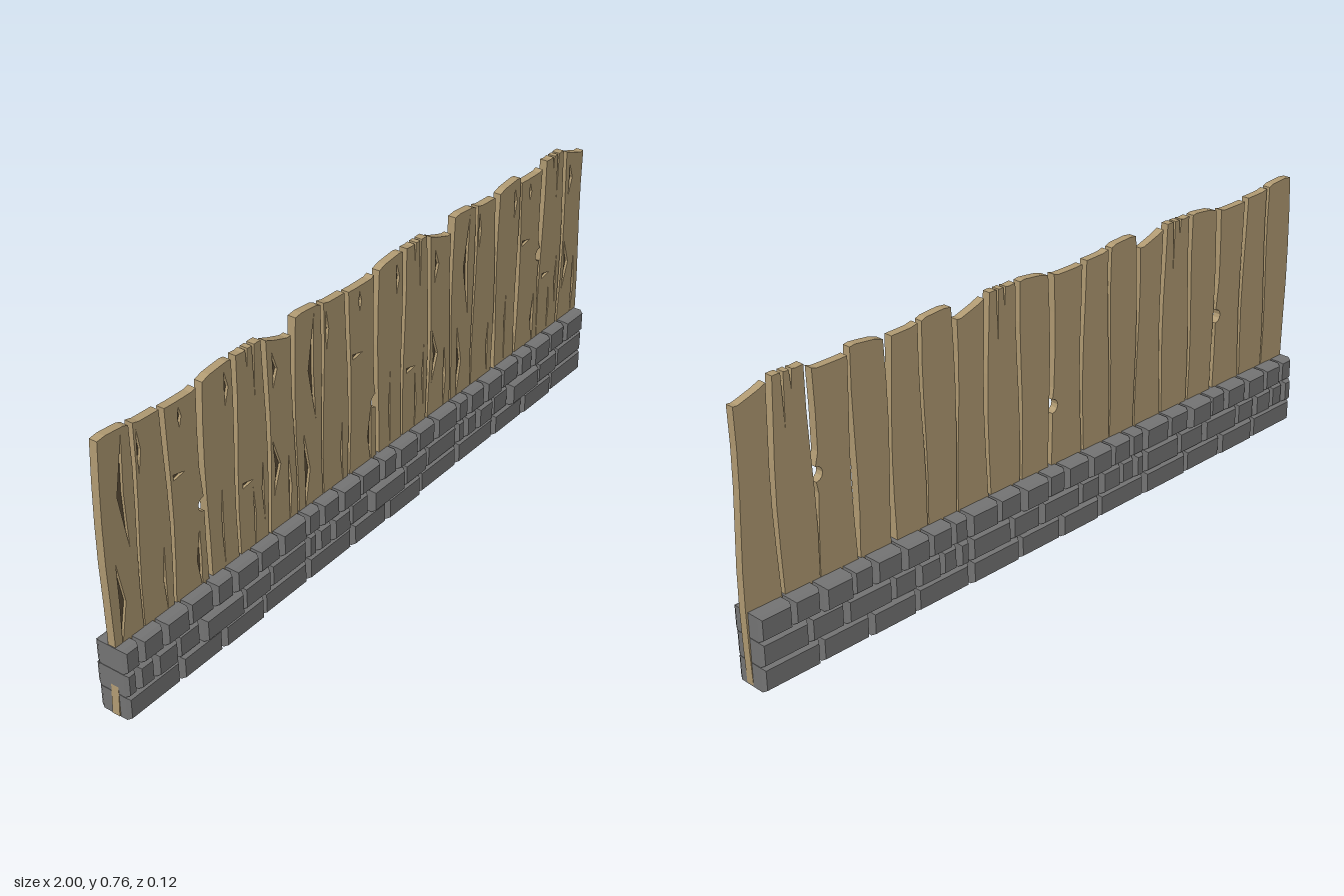
import * as THREE from 'three';

const wood = new THREE.MeshStandardMaterial({ color: 0xb09a72, flatShading: true });
const darkWood = new THREE.MeshStandardMaterial({ color: 0x5c4e38, flatShading: true });
const stone = new THREE.MeshStandardMaterial({ color: 0x747474, flatShading: true });

const SECTION = 2 / 3;
const Z_BACK = -0.008, Z_GROOVE = 0.007, Z_FRONT = 0.015;

// Planks of one section: side positions, heights of the two top corners, then
// cracks [x, top, bottom, bend, width], sideways split [x, y], slits [fraction, depth]
const planks = [
  { x0: 0, x1: 0.106, yl: 0.753, yr: 0.746,
    cracks: [[0.078, 0.735, 0.44, -0.016, 0.02], [0.03, 0.42, 0.19, 0.012, 0.02]] },
  { x0: 0.107, x1: 0.209, yl: 0.745, yr: 0.738,
    cracks: [[0.125, 0.725, 0.61, 0.004, 0.012], [0.185, 0.38, 0.19, -0.005, 0.008]] },
  { x0: 0.214, x1: 0.325, yl: 0.732, yr: 0.735, split: [0.23, 0.54],
    cracks: [[0.26, 0.715, 0.66, 0.002, 0.012], [0.305, 0.36, 0.19, -0.006, 0.016]] },
  { x0: 0.335, x1: 0.443, yl: 0.738, yr: 0.75,
    cracks: [[0.415, 0.73, 0.64, 0.006, 0.014], [0.39, 0.43, 0.2, -0.004, 0.006]] },
  { x0: 0.448, x1: 0.557, yl: 0.752, yr: 0.752, split: [0.463, 0.39], slits: [[0.42, 0.05], [0.69, 0.14]],
    cracks: [[0.5, 0.37, 0.19, 0.005, 0.007], [0.54, 0.44, 0.25, -0.004, 0.007]] },
  { x0: 0.563, x1: 0.664, yl: 0.742, yr: 0.715,
    cracks: [[0.585, 0.7, 0.6, 0.01, 0.016], [0.578, 0.46, 0.3, 0.018, 0.02], [0.635, 0.4, 0.19, 0.005, 0.012]] },
];

// Brick joints along one section, per course from the ground up
const courses = [
  [0, 0.183, 0.333, 0.488, 0.665],
  [0, 0.04, 0.097, 0.176, 0.259, 0.408, 0.518, 0.665],
  [0, 0.056, 0.134, 0.222, 0.313, 0.382, 0.476, 0.562, 0.665],
];

const outline = (pts) => new THREE.Shape(pts.map(([x, y]) => new THREE.Vector2(x, y)));

function slab(shape, z0, z1) {
  const g = new THREE.ExtrudeGeometry(shape, { depth: z1 - z0, bevelEnabled: false });
  return g.translate(0, 0, z0);
}

// Wavy plank side; seams open slightly towards the top
function sidePoint(x, y, seam, lean) {
  const wavy = x + 0.005 * Math.sin(9 * y + 2 * seam) + lean * 0.008 * y;
  return [THREE.MathUtils.clamp(wavy, 0, SECTION), y];
}

function plankOutline({ x0, x1, yl, yr, slits = [] }, k, knotY) {
  const right = [], left = [], top = [];
  for (let i = 0; i <= 7; i++) {
    const t = i / 7;
    right.push(sidePoint(x1, THREE.MathUtils.lerp(0.003, yr, t), k + 1, -1));
    left.unshift(sidePoint(x0, THREE.MathUtils.lerp(0.003, yl, t), k, 1));
  }
  // Knot hole bitten out of the right side
  if (k === 2) {
    const bite = [];
    for (let i = 0; i <= 6; i++) {
      const a = -Math.PI * (0.5 + i / 6);
      bite.push([x1 + 0.02 * Math.cos(a), knotY + 0.02 * Math.sin(a)]);
    }
    const below = right.filter(([, y]) => y < knotY - 0.02);
    const above = right.filter(([, y]) => y > knotY + 0.02);
    right.splice(0, right.length, ...below, ...bite, ...above);
  }
  // Ragged top, from right to left, with V-shaped slits
  const a = left[0], b = right[right.length - 1];
  const along = (t, drop) => [THREE.MathUtils.lerp(a[0], b[0], t), THREE.MathUtils.lerp(yl, yr, t) - drop];
  for (const t of [0.85, 0.55, 0.25]) top.push(along(t, 0.005 * Math.sin(20 * t + 2 * k)));
  for (const [t, depth] of slits) top.push(along(t + 0.045, 0), along(t, depth), along(t - 0.045, 0));
  top.sort((p, q) => q[0] - p[0]);
  return [...right, ...top, ...left];
}

// Bent crack: pointed at both ends, widest in the middle
function crackOutline([x, y1, y0, bend, w]) {
  const mid = (y0 + y1) / 2;
  return outline([[x, y0], [x + bend + w / 2, mid], [x, y1], [x + bend - w / 2, mid]]);
}

function addMesh(parent, geometry, material, name) {
  const mesh = new THREE.Mesh(geometry, material);
  mesh.name = name;
  parent.add(mesh);
}

function makePlank(p, k, knotY) {
  const plank = new THREE.Group();
  plank.name = 'plank';
  const pts = plankOutline(p, k, knotY);
  const carved = p.cracks.map(crackOutline);
  if (p.split) {
    const [x, y] = p.split;
    carved.push(outline([[x, y - 0.007], [x + 0.04, y], [x, y + 0.009]]));
  }
  const face = outline(pts);
  face.holes = carved;
  addMesh(plank, slab(outline(pts), Z_BACK, Z_GROOVE), wood, 'plankBack');
  addMesh(plank, slab(face, Z_GROOVE, Z_FRONT), wood, 'plankFace');
  // Dark floor of each carved crack
  const floor = new THREE.ShapeGeometry(carved).translate(0, 0, Z_GROOVE + 0.0005);
  addMesh(plank, floor, darkWood, 'crackFloor');
  return plank;
}

// Brick with chamfered front and back edges
function brickGeometry(x0, x1, y0, y1, z0, z1) {
  const b = 0.011, s = 0.006;
  const shape = outline([[x0 + s, y0 + s], [x1 - s, y0 + s], [x1 - s, y1 - s], [x0 + s, y1 - s]]);
  const g = new THREE.ExtrudeGeometry(shape, {
    depth: z1 - z0 - 2 * b, bevelEnabled: true, bevelThickness: b, bevelSize: s, bevelSegments: 1,
  });
  return g.translate(0, 0, z0 + b);
}

function makeBase() {
  const base = new THREE.Group();
  base.name = 'brickBase';
  courses.forEach((joints, row) => {
    const y = row * 0.0675;
    for (let i = 0; i < joints.length - 1; i++) {
      // Bricks vary in depth; some in the upper course stick out at the back
      const front = 0.046 + 0.003 * (i % 3) + (row === 1 && i === 4 ? 0.01 : 0);
      const back = 0.049 + 0.003 * ((i + row) % 2) + (row === 2 && i % 3 === 2 ? 0.006 : 0);
      const g = brickGeometry(joints[i] + 0.004, joints[i + 1] - 0.004, y, y + 0.066, -back, front);
      addMesh(base, g, stone, 'brick');
    }
  });
  return base;
}

export function createModel() {
  const model = new THREE.Group();
  model.name = 'woodenFenceOnBrickBase';
  [0.42, 0.37, 0.47].forEach((knotY, i) => {
    const section = new THREE.Group();
    section.name = 'fenceSection';
    section.position.x = -1 + i * SECTION;
    planks.forEach((p, k) => {
      const plank = makePlank(p, k, knotY);
      // The last section swaps its two middle planks
      if (i === 2 && k === 2) plank.position.x = 0.117;
      if (i === 2 && k === 3) plank.position.x = -0.117;
      section.add(plank);
    });
    section.add(makeBase());
    model.add(section);
  });
  return model;
}
